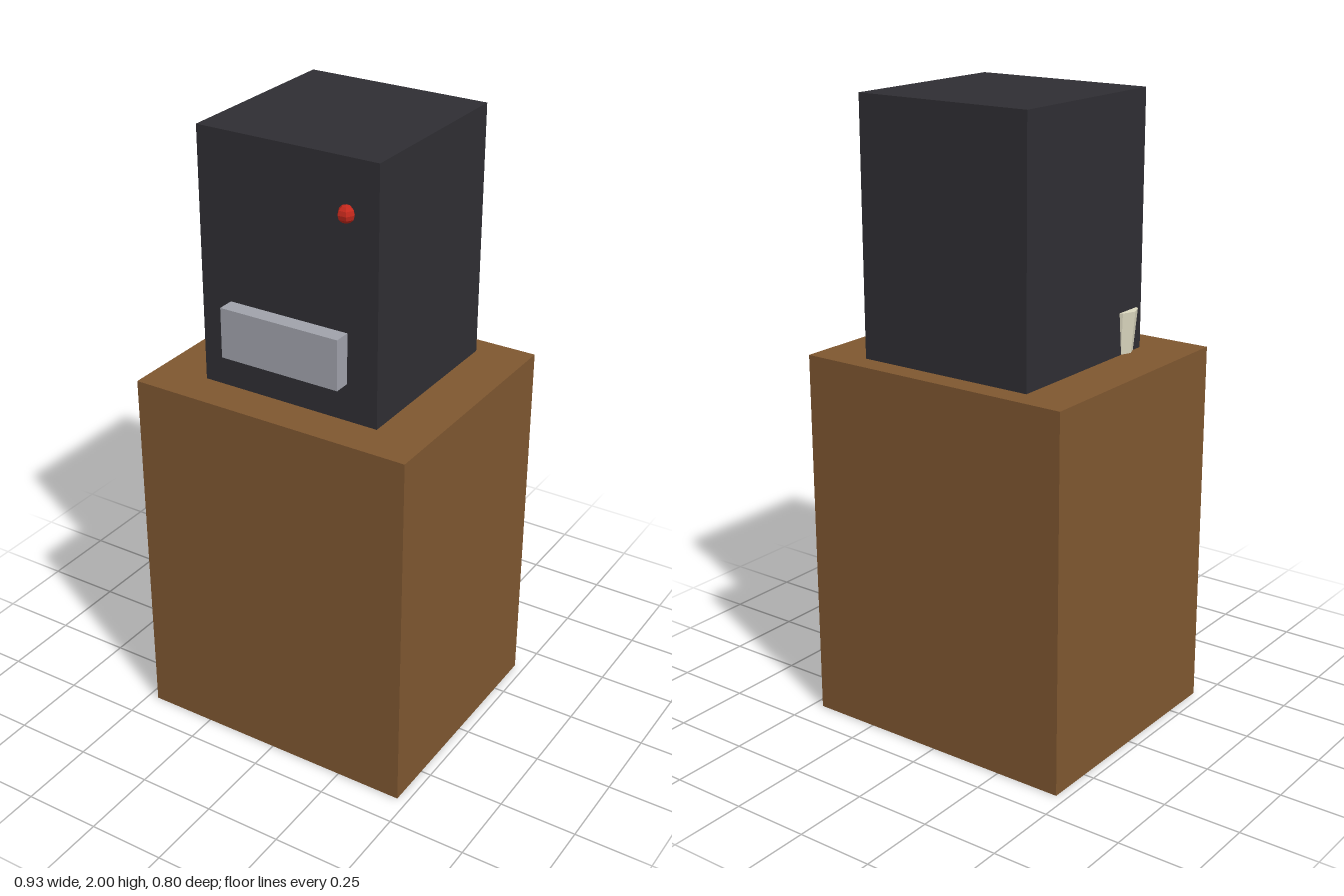
import * as THREE from 'three';

export function createModel() {
  const group = new THREE.Group();

  const add = (name, geometry, color, x, y, z) => {
    const material = new THREE.MeshStandardMaterial({ flatShading: true });
    material.color.set(color);
    const mesh = new THREE.Mesh(geometry, material);
    mesh.name = name;
    mesh.position.set(x, y, z);
    group.add(mesh);
  };

  // Solid wooden stand
  add('stand', new THREE.BoxGeometry(0.933, 1.2, 0.8), 0x7f5730, 0, 0.6, 0);

  // Dark machine body, set slightly back on the stand
  add('machineBody', new THREE.BoxGeometry(0.6, 0.8, 0.6), 0x2f2e33, 0, 1.6, -0.027);

  // Grey tray projecting from the front
  add('frontTray', new THREE.BoxGeometry(0.4, 0.16, 0.107), 0xa0a2ab, 0, 1.4, 0.273);

  // Small faceted button
  add('button', new THREE.SphereGeometry(0.0267, 6, 6), 0xc4281c, 0.2, 1.84, 0.28);

  // Tapered eight-sided cup, partly sunk into the body's right side
  add('cup', new THREE.CylinderGeometry(0.06, 0.047, 0.133, 8), 0xdcd8c0, -0.267, 1.267, 0.2);

  return group;
}
